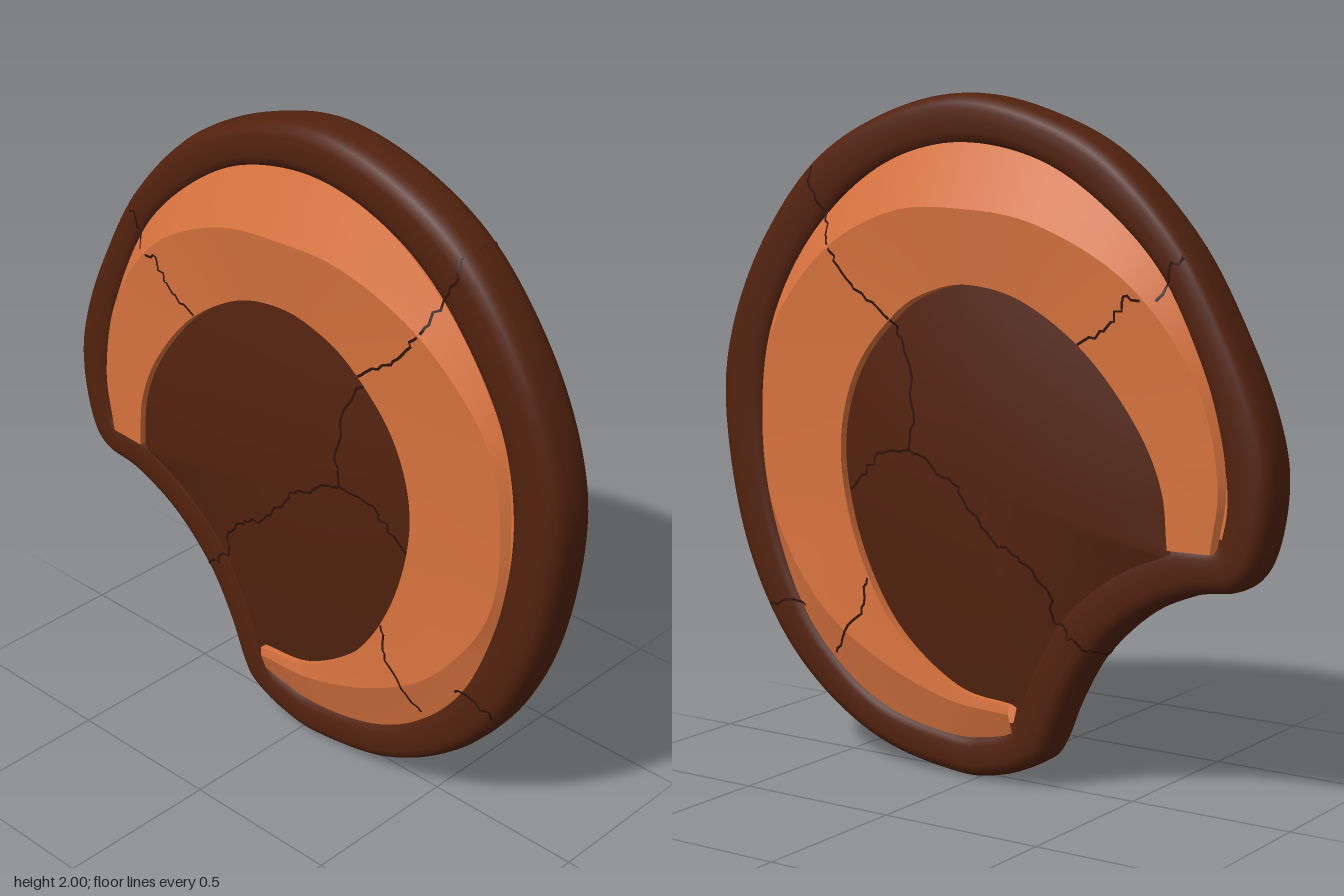
import * as THREE from 'three';

const copper = new THREE.MeshStandardMaterial({ color: 0xd8733f, side: THREE.DoubleSide });
copper.name = 'copper';
const darkBrown = new THREE.MeshStandardMaterial({ color: 0x52220f, side: THREE.DoubleSide });
darkBrown.name = 'dark brown';
const crackBrown = new THREE.MeshStandardMaterial({ color: 0x2e1208, side: THREE.DoubleSide });
crackBrown.name = 'crack brown';

// Rim stations, anticlockwise from the bottom: outer x, y, inner x, y
const RIM = [
  [0.07, 0.005, 0.07, 0.14], [0.35, 0.06, 0.32, 0.19], [0.6, 0.21, 0.5, 0.31],
  [0.78, 0.42, 0.64, 0.48], [0.9, 0.7, 0.74, 0.72], [0.955, 1.05, 0.785, 1.02],
  [0.92, 1.3, 0.75, 1.28], [0.8, 1.56, 0.65, 1.48], [0.6, 1.8, 0.48, 1.68],
  [0.35, 1.94, 0.28, 1.8], [0.07, 2.0, 0.03, 1.85], [-0.2, 1.95, -0.2, 1.81],
  [-0.45, 1.83, -0.4, 1.7], [-0.68, 1.6, -0.6, 1.52], [-0.84, 1.33, -0.73, 1.28],
  [-0.93, 1.12, -0.79, 1.1], [-0.96, 0.95, -0.82, 0.93], [-0.93, 0.76, -0.81, 0.82],
  [-0.86, 0.66, -0.78, 0.78],
  // the bite
  [-0.72, 0.63, -0.64, 0.77], [-0.55, 0.55, -0.48, 0.7], [-0.4, 0.41, -0.32, 0.58],
  [-0.31, 0.26, -0.22, 0.43], [-0.25, 0.12, -0.15, 0.27], [-0.2, 0.07, -0.12, 0.18],
  [-0.08, 0.02, -0.04, 0.15],
];

// Band stations: outer x, y, inner x, y, ridge fraction (inner to outer), ridge z, inner z
const BAND = [
  [-0.14, 0.14, -0.14, 0.25, 0.25, 0.1, 0.098], [0.15, 0.13, 0.05, 0.28, 0.25, 0.105, 0.1],
  [0.42, 0.23, 0.25, 0.42, 0.45, 0.112, 0.105], [0.62, 0.42, 0.38, 0.62, 0.7, 0.108, 0.106],
  [0.75, 0.72, 0.45, 0.85, 0.92, 0.092, 0.105], [0.79, 1.0, 0.45, 1.04, 0.94, 0.09, 0.105],
  [0.75, 1.3, 0.38, 1.22, 0.92, 0.1, 0.11], [0.59, 1.58, 0.24, 1.37, 0.78, 0.122, 0.118],
  [0.33, 1.79, 0.12, 1.435, 0.63, 0.142, 0.123], [0.03, 1.86, -0.02, 1.46, 0.54, 0.15, 0.125],
  [-0.3, 1.78, -0.2, 1.42, 0.6, 0.142, 0.12], [-0.59, 1.55, -0.4, 1.29, 0.75, 0.122, 0.115],
  [-0.76, 1.25, -0.56, 1.1, 0.9, 0.1, 0.106], [-0.825, 0.97, -0.64, 0.93, 0.92, 0.092, 0.1],
  [-0.8, 0.76, -0.66, 0.76, 0.92, 0.09, 0.098],
];

// Grid surface through rows of points
function loft(rows, closedRows, closedCols, flip) {
  const n = rows.length, m = rows[0].length, index = [];
  for (let i = 0; i < (closedRows ? n : n - 1); i++) {
    for (let j = 0; j < (closedCols ? m : m - 1); j++) {
      const a = i * m + j, b = ((i + 1) % n) * m + j;
      const c = i * m + (j + 1) % m, d = ((i + 1) % n) * m + (j + 1) % m;
      if (flip) index.push(a, c, b, b, c, d);
      else index.push(a, b, c, b, d, c);
    }
  }
  const g = new THREE.BufferGeometry().setFromPoints(rows.flat());
  g.setIndex(index);
  g.computeVertexNormals();
  return g;
}

// Smooth samples through a list of points, evenly spread between stations
function smooth(points, count, closed = false) {
  const curve = new THREE.CatmullRomCurve3(points, closed, 'catmullrom', 0.5);
  return Array.from({ length: count }, (_, k) => curve.getPoint(k / (closed ? count : count - 1)));
}

const v = (x, y, z = 0) => new THREE.Vector3(x, y, z);

function makeMesh(name, geometry, material) {
  const mesh = new THREE.Mesh(geometry, material);
  mesh.name = name;
  return mesh;
}

// Rounded rim running round the whole outline
function rimGeometry() {
  const outer = smooth(RIM.map((r) => v(r[0], r[1])), 208, true);
  const inner = smooth(RIM.map((r) => v(r[2], r[3])), 208, true);
  const power = (t) => Math.sign(t) * Math.abs(t) ** 0.65;
  const rows = outer.map((o, i) => Array.from({ length: 24 }, (_, k) => {
    const a = (k / 24) * Math.PI * 2;
    const p = o.clone().lerp(inner[i], (1 - power(Math.cos(a))) * 0.52);
    return p.setZ(0.085 * power(Math.sin(a)));
  }));
  return loft(rows, true, true, false);
}

// Crescent band: outer slope, inner slope and the small step down to the disc
function bandGeometries(side) {
  const lines = [
    BAND.map((b) => v(b[0], b[1], 0.07)),
    BAND.map((b) => v(b[2], b[3]).lerp(v(b[0], b[1]), b[4]).setZ(b[5])),
    BAND.map((b) => v(b[2], b[3], b[6])),
    BAND.map((b) => v(b[2], b[3], 0.06)),
  ].map((line) => smooth(line, 140).map((p) => p.setZ(p.z * side)));
  return [0, 1, 2].map((k) => {
    const rows = lines[k].map((p, i) => [0, 0.5, 1].map((t) => p.clone().lerp(lines[k + 1][i], t)));
    return loft(rows, false, false, side < 0);
  });
}

// Gently domed centre disc, cut by the bite
function discGeometry(side) {
  const edge = smooth(BAND.map((b) => v(b[2], b[3])), 100);
  const bite = RIM.slice(19, 24).map((r) => v(r[2], r[3]).lerp(v(r[0], r[1]), 0.25));
  const border = [...edge, ...smooth(bite, 40)];
  const centre = v(-0.06, 0.88);
  const rows = border.map((p) => Array.from({ length: 13 }, (_, k) => {
    const t = 1 - k / 12;
    return centre.clone().lerp(p, t).setZ(side * (0.078 + 0.047 * (1 - t * t)));
  }));
  return loft(rows, true, false, side < 0);
}

const CRACKS = [
  [[0.6, 1.8], [0.58, 1.72], [0.53, 1.65], [0.48, 1.54], [0.42, 1.46], [0.27, 1.35], [0.2, 1.2], [0.18, 1.05], [0.2, 0.97]],
  [[0.2, 0.97], [0.05, 0.9], [-0.08, 0.76], [-0.27, 0.61], [-0.29, 0.51], [-0.42, 0.42]],
  [[0.2, 0.97], [0.32, 0.95], [0.37, 0.88], [0.44, 0.83]],
  [[0.36, 0.57], [0.38, 0.46], [0.43, 0.42], [0.5, 0.32]],
  [[0.62, 0.45], [0.7, 0.46], [0.78, 0.42]],
  [[-0.69, 1.58], [-0.65, 1.52], [-0.62, 1.44]],
  [[-0.58, 1.44], [-0.53, 1.45], [-0.5, 1.38], [-0.38, 1.31]],
];

// Jagged thin ribbon laid on the surface of the other parts
function crackGeometry(points, side, targets, random) {
  const ray = new THREE.Raycaster();
  const path = [];
  points.forEach(([x, y], i) => {
    if (i === 0) return path.push(v(x, y));
    const from = v(...points[i - 1]), to = v(x, y);
    const steps = Math.ceil(from.distanceTo(to) / 0.022);
    for (let k = 1; k <= steps; k++) {
      const p = from.clone().lerp(to, k / steps);
      if (k < steps) p.add(v((random() - 0.5) * 0.022, (random() - 0.5) * 0.022));
      path.push(p);
    }
  });
  const rows = path.map((p, i) => {
    const d = path[Math.min(i + 1, path.length - 1)].clone().sub(path[Math.max(i - 1, 0)]).normalize();
    return [1, -1].map((s) => {
      const q = v(p.x - d.y * 0.004 * s, p.y + d.x * 0.004 * s);
      ray.set(v(q.x, q.y, side), v(0, 0, -side));
      const hit = ray.intersectObjects(targets, false)[0];
      return q.setZ((hit ? hit.point.z : 0) + side * 0.003);
    });
  });
  return loft(rows, false, false, side > 0);
}

export function createModel() {
  const model = new THREE.Group();
  model.name = 'shield';
  model.add(makeMesh('rim', rimGeometry(), darkBrown));
  for (const [label, side] of [['front', 1], ['back', -1]]) {
    model.add(makeMesh(label + 'Disc', discGeometry(side), darkBrown));
    bandGeometries(side).forEach((g, k) => {
      model.add(makeMesh(label + ['BandOuterSlope', 'BandInnerSlope', 'BandStep'][k], g, copper));
    });
  }

  // Cracks on both faces
  const targets = [...model.children];
  for (const [label, side] of [['front', 1], ['back', -1]]) {
    let seed = 7;
    const random = () => (seed = (seed * 16807) % 2147483647) / 2147483647;
    for (const points of CRACKS) {
      model.add(makeMesh(label + 'Crack', crackGeometry(points, side, targets, random), crackBrown));
    }
  }
  return model;
}
